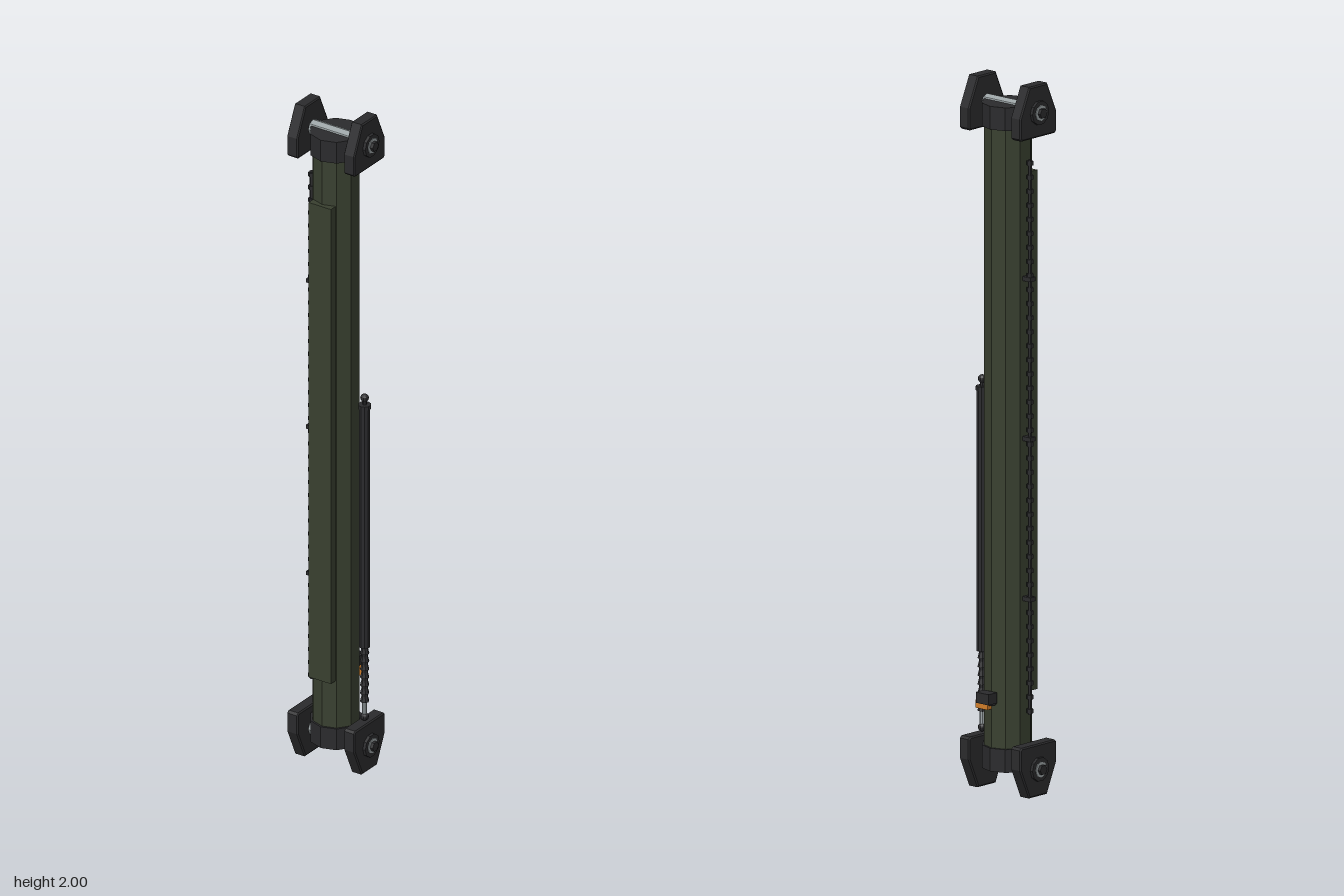
import * as THREE from 'three';

const paint = (name, color) => Object.assign(new THREE.MeshStandardMaterial({ color, flatShading: true }), { name });

export function createModel() {
  const green = paint('olive green', 0x394030);
  const dark = paint('dark steel', 0x2b2b2d);
  const silver = paint('bare steel', 0x9ba3a5);
  const orange = paint('orange', 0xd4802a);

  const model = new THREE.Group();
  model.name = 'cylinderStrut';
  const AXIS = 0.013; // z of the main axis

  const add = (parent, name, geometry, material, x = 0, y = 0, z = 0) => {
    const mesh = new THREE.Mesh(geometry, material);
    mesh.name = name;
    mesh.position.set(x, y, z);
    parent.add(mesh);
    return mesh;
  };
  const box = (w, h, d) => new THREE.BoxGeometry(w, h, d);
  const rod = (r, h, sides) => new THREE.CylinderGeometry(r, r, h, sides);
  const crossRod = (r, h, sides) => rod(r, h, sides).rotateZ(Math.PI / 2);
  const between = (parent, name, r, y0, y1, sides, mat, x = 0, z = 0) =>
    add(parent, name, rod(r, y1 - y0, sides), mat, x, (y0 + y1) / 2, z);

  // Everything hangs on the main axis
  const body = new THREE.Group();
  body.name = 'body';
  body.position.z = AXIS;
  model.add(body);

  // Main tube and raised front panel
  between(body, 'mainTube', 0.067, 0.08, 1.92, 10, green);
  add(body, 'frontPanel', box(0.074, 1.46, 0.03), green, 0, 1.005, 0.063);

  // Clevis outline: flat foot, straight cheeks, tapered nose
  const outline = new THREE.Shape([
    [-0.066, -0.066], [0.066, -0.066], [0.07, -0.062], [0.07, -0.008],
    [0.034, 0.073], [-0.034, 0.073], [-0.07, -0.008], [-0.07, -0.062],
  ].map(([x, y]) => new THREE.Vector2(x, y)));
  const cheek = new THREE.ExtrudeGeometry(outline, {
    depth: 0.03, bevelEnabled: true, bevelThickness: 0.003, bevelSize: 0.004, bevelSegments: 1,
  }).translate(0, 0, -0.015).rotateY(Math.PI / 2);

  // Pinned end, used at the top and turned over at the bottom
  const makeEnd = (name, y, turn) => {
    const end = new THREE.Group();
    end.name = name;
    end.position.y = y;
    end.rotation.z = turn;
    body.add(end);
    between(end, 'collar', 0.073, -0.053, 0.012, 10, dark);
    add(end, 'pin', crossRod(0.0223, 0.246, 8), silver);
    for (const side of [-1, 1]) {
      add(end, 'cheekPlate', cheek, dark, side * 0.0945);
      add(end, 'washer', crossRod(0.034, 0.012, 10), dark, side * 0.115);
      add(end, 'pinNut', crossRod(0.0145, 0.02, 6), dark, side * 0.122);
    }
  };
  makeEnd('topEnd', 1.923, 0);
  makeEnd('bottomEnd', 0.077, Math.PI);

  // Ribbed line along the right side
  const line = new THREE.Group();
  line.name = 'ribbedLine';
  line.position.x = -0.081;
  body.add(line);
  between(line, 'lineCore', 0.006, 0.225, 1.785, 6, dark);
  const rib = rod(0.0095, 0.012, 6);
  for (let i = 0; i < 40; i++) add(line, 'rib', rib, dark, 0, 0.235 + i * 0.0395);
  for (const y of [0.55, 1.0, 1.45]) add(line, 'lineClip', box(0.034, 0.012, 0.022), dark, 0.006, y);

  // Slim damper along the left side
  const damper = new THREE.Group();
  damper.name = 'damper';
  damper.position.x = 0.095;
  body.add(damper);
  between(damper, 'damperBarrel', 0.016, 0.375, 1.12, 10, dark);
  between(damper, 'damperCap', 0.018, 1.108, 1.12, 10, dark);
  between(damper, 'damperNeck', 0.006, 1.115, 1.14, 8, dark);
  add(damper, 'topBall', new THREE.SphereGeometry(0.012, 10, 8), dark, 0, 1.14);
  between(damper, 'damperRod', 0.007, 0.155, 0.38, 8, silver);
  between(damper, 'bootCore', 0.009, 0.205, 0.375, 8, dark);
  const fold = new THREE.CylinderGeometry(0.009, 0.013, 0.016, 8);
  for (let i = 0; i < 7; i++) add(damper, 'bootFold', fold, dark, 0, 0.215 + i * 0.0245);
  add(damper, 'bottomBall', new THREE.SphereGeometry(0.012, 10, 8), dark, 0, 0.16);

  // Rear valve with its orange lever
  add(model, 'valveBlock', box(0.047, 0.03, 0.034), dark, 0, 0.275, -0.075);
  add(model, 'valveStem', box(0.026, 0.02, 0.03), dark, 0, 0.262, -0.055);
  add(model, 'valveLever', box(0.043, 0.022, 0.018), orange, 0.0215, 0.25, -0.062);

  return model;
}
